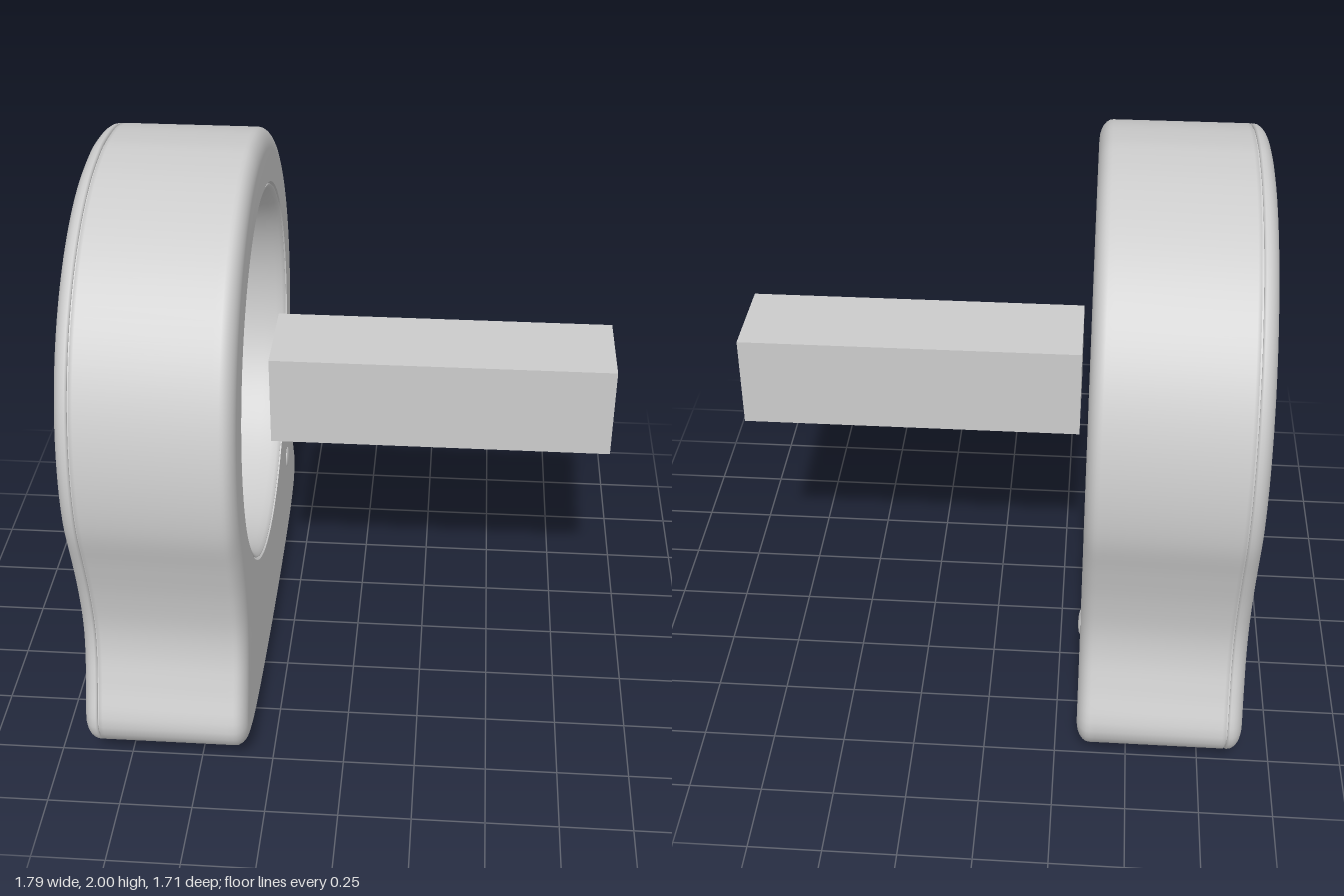
import * as THREE from 'three';

const CY = 1.147;            // height of the ring centre
const BACK = -0.89, FRONT = -0.325, MID = (BACK + FRONT) / 2;
const HOLE = 0.667;
const N = 180;

// Outline of the housing in (z, y), counter-clockwise
function outline() {
  const lower = [[0.5, 0.028], [0.7, 0.06], [0.8, 0.107], [0.853, 0.2], [0.802, 0.35], [0.765, 0.46],
    [0.752, 0.57], [0.769, 0.72], [0.803, 0.87]];
  const half = [...lower];
  for (let d = -7; d < 90; d += 12) {
    const a = THREE.MathUtils.degToRad(d);
    half.push([0.853 * Math.cos(a), CY + 0.853 * Math.sin(a)]);
  }
  const loop = [[0, 0.008], ...half, [0, 2], ...half.slice().reverse().map(([z, y]) => [-z, y])];
  const curve = new THREE.CatmullRomCurve3(loop.map(([z, y]) => new THREE.Vector3(0, y, z)), true);
  const pts = curve.getSpacedPoints(N).slice(0, N);
  return pts.map((p, i) => {
    const t = pts[(i + 1) % N].clone().sub(pts[(i + N - 1) % N]).normalize();
    return { z: p.z, y: p.y, nz: t.y, ny: -t.z, a: Math.atan2(p.y - CY, p.z) };
  });
}

// Join rings of N points into a smooth surface
function skin(rings) {
  const pos = rings.flat(2), idx = [];
  for (let j = 0; j < rings.length - 1; j++) {
    for (let i = 0; i < N; i++) {
      const k = (i + 1) % N;
      const a = j * N + i, b = a + N, c = j * N + k, d = c + N;
      idx.push(a, b, c, b, d, c);
    }
  }
  const g = new THREE.BufferGeometry();
  g.setAttribute('position', new THREE.Float32BufferAttribute(pos, 3));
  g.setIndex(idx);
  g.computeVertexNormals();
  return g;
}

export function createModel() {
  const group = new THREE.Group();
  const mat = new THREE.MeshStandardMaterial({ color: 0xcccccc });
  const add = (name, geo, x = 0, y = 0, z = 0) => {
    const m = new THREE.Mesh(geo, mat);
    m.name = name;
    m.position.set(x, y, z);
    group.add(m);
    return m;
  };

  // Housing: outline swept from back to front with soft edges and a seam
  const path = outline();
  const outer = (x, inset) => path.map(p => [x, p.y - p.ny * inset, p.z - p.nz * inset]);
  const hole = x => path.map(p => [x, CY + HOLE * Math.sin(p.a), HOLE * Math.cos(p.a)]);
  const bevel = [];
  for (let s = 0; s <= 6; s++) {
    const a = s / 6 * Math.PI / 2;
    bevel.push([0.045 * (1 - Math.sin(a)), 0.07 * (1 - Math.cos(a))]);
  }
  const backEdge = bevel.slice().reverse().map(([dx, inset]) => outer(BACK + 0.045 - dx, inset));
  const frontEdge = bevel.map(([dx, inset]) => outer(FRONT - dx, inset));
  backEdge.reverse();
  const back = bevel.slice().reverse().map(([dx, inset]) => outer(BACK + dx, inset)).reverse();
  // bevel runs from the side wall (s = 0) to the face (s = 6)
  add('housingBack', skin([hole(BACK), ...back.slice().reverse(), outer(-0.838, 0), outer(-0.838, 0.01)]));
  add('housingSeam', skin([outer(-0.838, 0.01), outer(-0.832, 0.01)]));
  add('housingFront', skin([outer(-0.832, 0.01), outer(-0.832, 0), outer(-0.82, 0),
    outer(-0.39, 0), ...frontEdge, hole(FRONT)]));
  add('housingHole', skin([hole(FRONT), hole(BACK)]));

  // Liner tube with flared lips, set in the hole with a narrow gap
  const h = (FRONT - BACK) / 2 - 0.004;
  const inner = [[0.652, h], [0.643, h - 0.012], [0.636, h - 0.035], [0.631, h - 0.08], [0.629, h - 0.15]];
  const profile = [[0.658, -h], [0.658, h], ...inner,
    ...inner.slice().reverse().map(([r, y]) => [r, -y]), [0.658, -h]];
  const liner = add('liner', new THREE.LatheGeometry(
    profile.reverse().map(([r, y]) => new THREE.Vector2(r, y)), 96), MID, CY, 0);
  liner.rotation.z = Math.PI / 2;
  liner.material = mat.clone();
  liner.material.side = THREE.DoubleSide;

  // Pairs of domed buttons on both faces, turned half round from each other
  for (const [face, side] of [[FRONT, -1], [BACK, 1]]) {
    for (const [z, y] of [[0.525, 0.415], [0.622, 0.498]]) {
      add('button', new THREE.SphereGeometry(0.04, 24, 16), face, y, side * z).scale.x = 0.2;
    }
  }

  // Rounded feet lying front to back under the housing
  for (const side of [-1, 1]) {
    const foot = add('foot', new THREE.CapsuleGeometry(0.062, 0.17, 10, 24), MID, 0.064, side * 0.635);
    foot.rotation.z = Math.PI / 2;
  }

  // Ball in the middle of the ring and the long block beside it
  add('centreBall', new THREE.SphereGeometry(0.157, 40, 28), MID, 1.125, 0);
  add('longBlock', new THREE.BoxGeometry(1.185, 0.33, 0.326), 0.297, 1.125, 0);
  return group;
}
